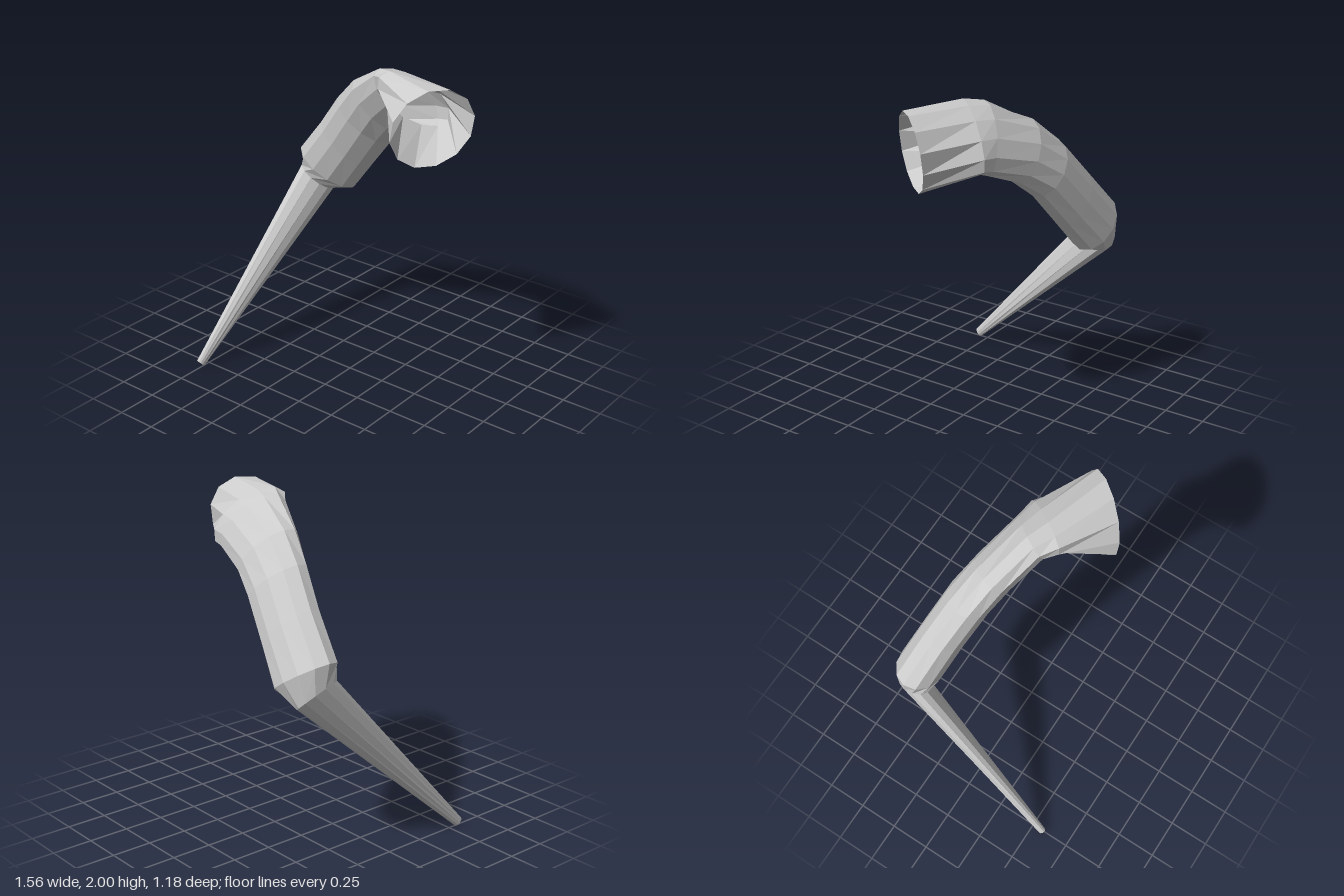
import * as THREE from 'three';

const SIDES = 12;
const material = new THREE.MeshStandardMaterial({ color: 0xcccccc, flatShading: true, side: THREE.DoubleSide });

// Each section: centre, half-axis u (outer edge), half-axis v (front edge)
const tip = [[-0.755, 0.026, 0.57], [-0.022, 0.004, 0], [0, 0.022, 0.02]];
const elbow = [[-0.6, 1.03, -0.43], [-0.075, 0.045, -0.04], [-0.045, 0.07, 0.1]];
const bendStart = [[0.27, 1.81, -0.18], [-0.1, 0.17, 0.06], [-0.08, 0.02, 0.13]];
const bendEnd = [[0.35, 1.83, -0.14], [-0.06, 0.17, 0.08], [-0.11, 0.03, 0.15]];
const rim = [[0.628, 1.77, 0.073], [0.04, 0.23, 0], [-0.145, 0, 0.183]];

const upper = [
  elbow,
  [[-0.515, 1.12, -0.44], [-0.175, 0.11, 0.05], [0.03, -0.02, 0.132]],
  [[-0.32, 1.34, -0.385], [-0.15, 0.13, 0.05], [0.02, -0.02, 0.13]],
  [[-0.135, 1.555, -0.325], [-0.155, 0.125, 0.05], [0.01, -0.02, 0.13]],
  [[0.025, 1.69, -0.265], [-0.135, 0.15, 0.05], [-0.02, -0.01, 0.13]],
  bendStart,
  bendEnd,
];

// Skin a row of elliptical sections, optionally closing the first one
function loft(name, sections, capStart = false) {
  const positions = [];
  const index = [];
  for (const [c, u, v] of sections) {
    for (let j = 0; j < SIDES; j++) {
      const a = ((j + 0.5) / SIDES) * Math.PI * 2;
      const cos = Math.cos(a) * 1.033;
      const sin = Math.sin(a) * 1.033;
      for (let k = 0; k < 3; k++) positions.push(c[k] + u[k] * cos + v[k] * sin);
    }
  }
  for (let i = 0; i < sections.length - 1; i++) {
    for (let j = 0; j < SIDES; j++) {
      const n = (j + 1) % SIDES;
      const a = i * SIDES + j;
      const b = i * SIDES + n;
      index.push(a, b, a + SIDES, b, b + SIDES, a + SIDES);
    }
  }
  if (capStart) {
    for (let j = 1; j < SIDES - 1; j++) index.push(0, j + 1, j);
  }
  const indexed = new THREE.BufferGeometry();
  indexed.setAttribute('position', new THREE.Float32BufferAttribute(positions, 3));
  indexed.setIndex(index);
  const geometry = indexed.toNonIndexed();
  geometry.computeVertexNormals();
  const mesh = new THREE.Mesh(geometry, material);
  mesh.name = name;
  return mesh;
}

export function createModel() {
  const model = new THREE.Group();
  model.name = 'bentTube';
  model.add(
    loft('taperedLowerTube', [tip, elbow], true), // thin closed tip up to the elbow
    loft('curvedUpperTube', upper), // flattened, arching body
    loft('flaredMouth', [bendEnd, rim]), // open end
  );
  return model;
}
